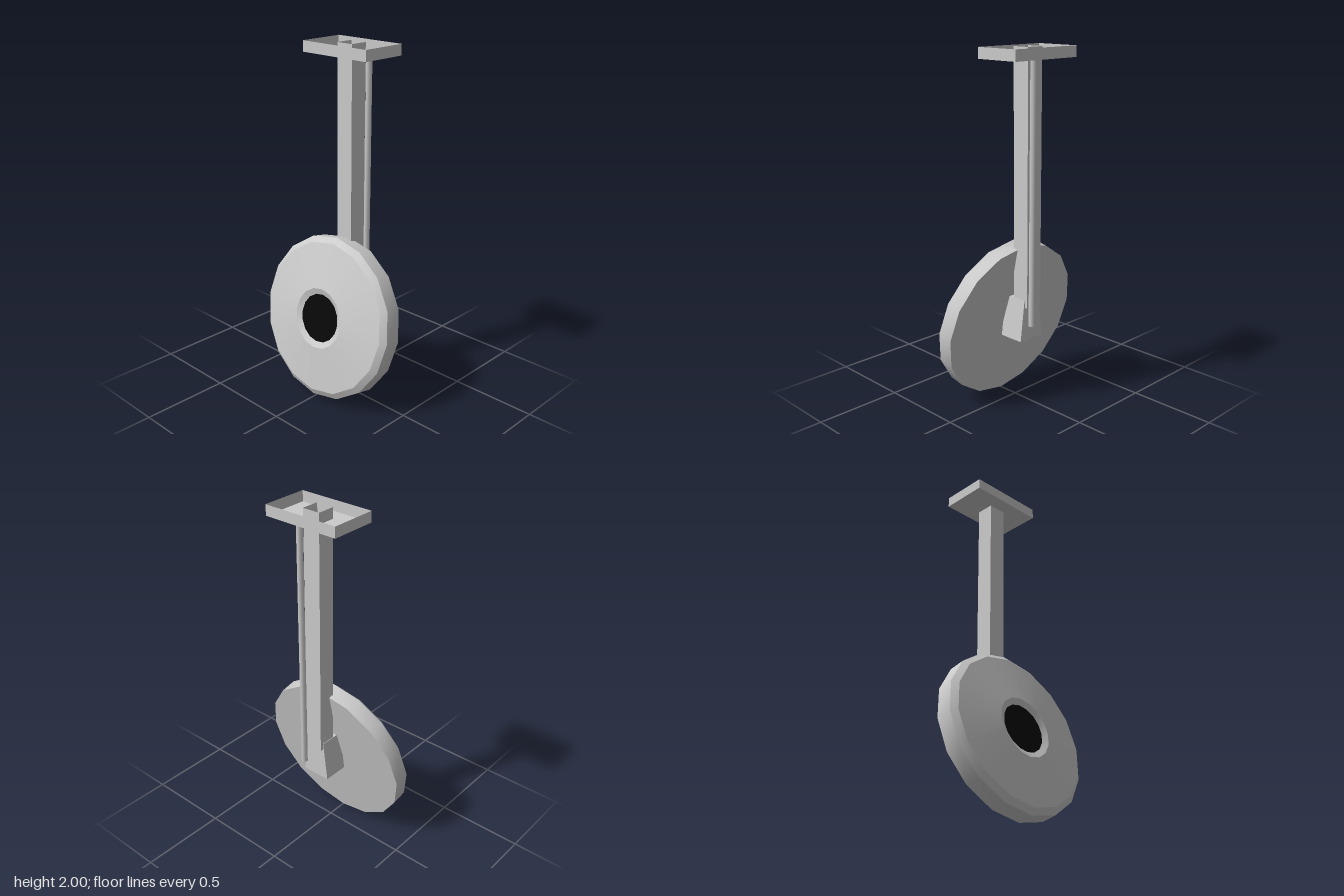
import * as THREE from 'three';
import { toCreasedNormals } from 'three/addons/utils/BufferGeometryUtils.js';

const grey = new THREE.MeshStandardMaterial({ color: 0xcccccc });
const greyThin = new THREE.MeshStandardMaterial({ color: 0xcccccc, side: THREE.DoubleSide });
const black = new THREE.MeshStandardMaterial({ color: 0x080808 });

// Thin-walled box without a lid, given by its min and max corners
function openBox(min, max) {
  const size = max.map((v, i) => v - min[i]);
  const geo = new THREE.BoxGeometry(...size);
  const index = Array.from(geo.index.array);
  index.splice(12, 6); // the top face
  geo.setIndex(index);
  geo.clearGroups();
  return geo.translate(...max.map((v, i) => (v + min[i]) / 2));
}

// Solid of revolution around z, 16 sided, with sharp rims
function disc(points) {
  const geo = new THREE.LatheGeometry(points.map(([r, d]) => new THREE.Vector2(r, d)), 16);
  geo.rotateX(Math.PI / 2);
  return toCreasedNormals(geo, 0.44);
}

export function createModel() {
  const model = new THREE.Group();
  model.name = 'hangingDisc';
  const add = (name, geo, mat, parent = model) => {
    const mesh = new THREE.Mesh(geo, mat);
    mesh.name = name;
    parent.add(mesh);
    return mesh;
  };

  // Open ceiling tray and the square tube that hangs from it
  add('ceilingTray', openBox([-0.225, 1.94, -0.23], [0.225, 2, 0.04]), greyThin);
  add('pole', openBox([-0.052, 0.585, -0.147], [0.052, 2, -0.043]), greyThin);

  // Cable running down behind the pole, leaning slightly
  const cable = add('cable', new THREE.CylinderGeometry(0.018, 0.018, 1.455, 6), grey);
  cable.position.set(0.046, 1.2175, -0.179);
  cable.rotation.x = -0.003;

  // Bracket block, narrower at the top
  const block = new THREE.BoxGeometry(0.17, 0.235, 0.15);
  const pos = block.attributes.position;
  for (let i = 0; i < pos.count; i++) {
    if (pos.getY(i) > 0) pos.setX(i, pos.getX(i) * 0.65);
  }
  block.computeVertexNormals();
  add('bracket', block, grey).position.set(0, 0.508, -0.055);

  // Tilted head: flat back, bevelled rim, shallow cone front, recessed centre
  const head = new THREE.Group();
  head.name = 'head';
  head.position.set(0, 0.461, 0.022);
  head.rotation.x = THREE.MathUtils.degToRad(-12);
  model.add(head);
  add('dish', disc([[0, 0], [0.467, 0], [0.467, 0.093], [0.433, 0.119], [0.172, 0.152], [0.138, 0.137]]), grey, head);
  add('darkCentre', disc([[0.138, 0.137], [0, 0.137]]), black, head);

  return model;
}
